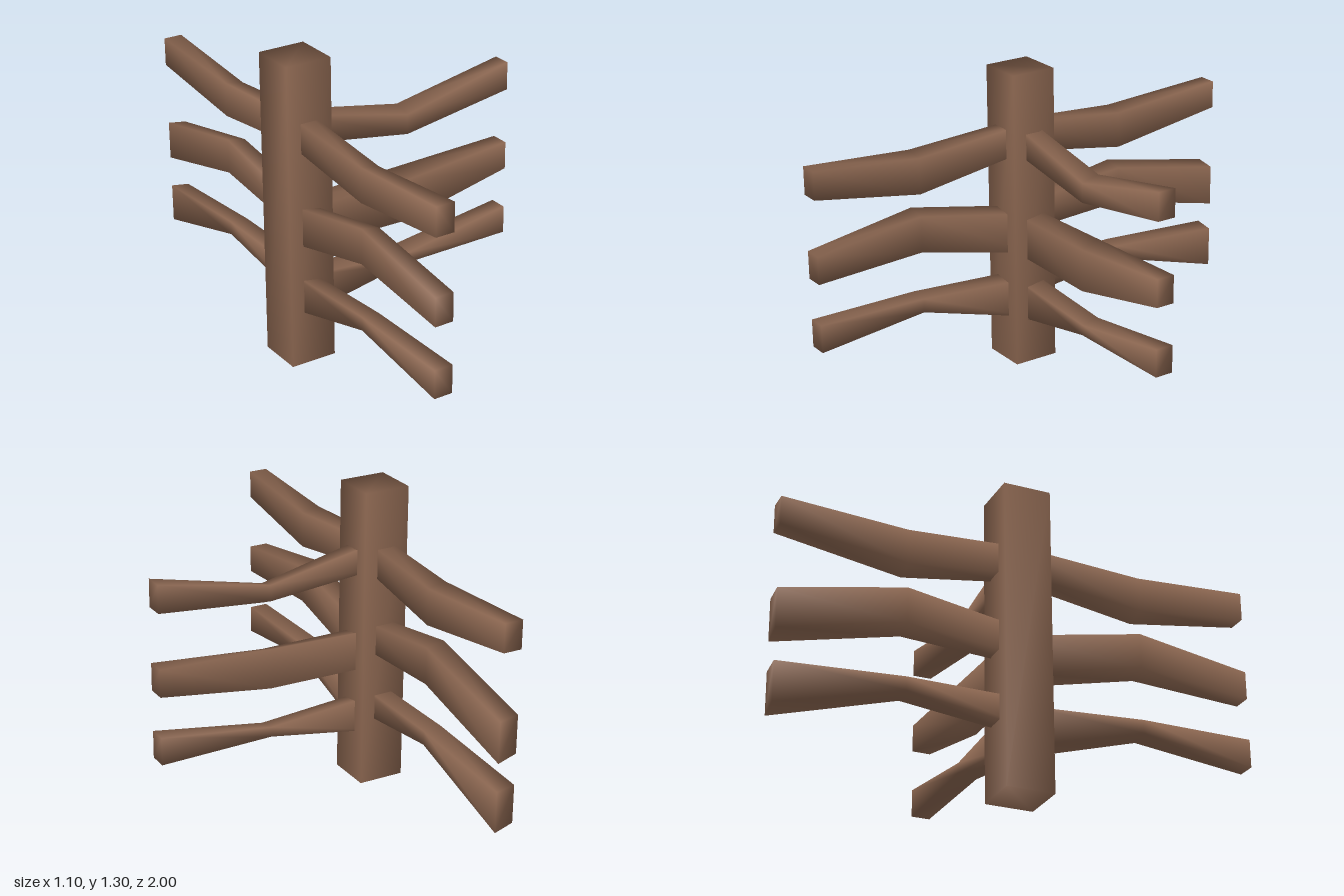
import * as THREE from 'three';
import { mergeVertices } from 'three/addons/utils/BufferGeometryUtils.js';

const POST_X = -0.45, HALF = 0.04;

// Skins a row of four-cornered rings, closes both ends, shares corners for smooth shading
function loft(rings) {
  const index = [0, 3, 2, 0, 2, 1];
  for (let r = 0; r < rings.length - 1; r++) {
    for (let i = 0; i < 4; i++) {
      const a = r * 4 + i, b = r * 4 + (i + 1) % 4;
      index.push(a, b, b + 4, a, b + 4, a + 4);
    }
  }
  const e = (rings.length - 1) * 4;
  index.push(e, e + 1, e + 2, e, e + 2, e + 3);
  const geo = new THREE.BufferGeometry();
  geo.setAttribute('position', new THREE.Float32BufferAttribute(rings.flat(2), 3));
  geo.setIndex(index);
  geo.computeVertexNormals();
  return geo;
}

// Section: distance along the arm, then bottom and top on the near side, bottom and top on the far side
const armZ = ([z, nb, nt, fb, ft]) => [
  [POST_X + HALF, nb, z], [POST_X + HALF, nt, z], [POST_X - HALF, ft, z], [POST_X - HALF, fb, z],
];
const armX = ([d, nb, nt, fb, ft]) => [
  [POST_X + d, nb, HALF], [POST_X + d, nt, HALF], [POST_X + d, ft, -HALF], [POST_X + d, fb, -HALF],
];

const tiers = [
  {
    name: 'lower',
    root: [0, 0.18, 0.357, 0.205, 0.37],
    bendZ: [0.52, 0.335, 0.395, 0.345, 0.402],
    bendX: [0.5, 0.275, 0.32, 0.29, 0.333],
    tip: [1, 0.28, 0.4, 0.28, 0.4],
  },
  {
    name: 'middle',
    root: [0, 0.48, 0.657, 0.505, 0.67],
    bendZ: [0.52, 0.605, 0.762, 0.63, 0.778],
    bendX: [0.5, 0.473, 0.655, 0.51, 0.685],
    tip: [1, 0.58, 0.7, 0.58, 0.7],
  },
  {
    name: 'upper',
    root: [0, 0.94, 1.06, 0.94, 1.06],
    bendZ: [0.52, 0.86, 1.015, 0.885, 1.03],
    bendX: [0.5, 0.86, 0.945, 0.895, 0.965],
    tip: [1, 0.94, 1.06, 0.94, 1.06],
  },
];

export function createModel() {
  const group = new THREE.Group();
  const wood = new THREE.MeshStandardMaterial({ color: 0x8b6650 });
  wood.name = 'brown wood';
  const add = (name, geo) => {
    const mesh = new THREE.Mesh(geo, wood);
    mesh.name = name;
    group.add(mesh);
    return mesh;
  };

  // Upright post with corners shared so it shades softly
  const box = new THREE.BoxGeometry(0.2, 1.3, 0.2);
  box.deleteAttribute('normal');
  box.deleteAttribute('uv');
  const postGeo = mergeVertices(box);
  postGeo.computeVertexNormals();
  add('post', postGeo).position.set(POST_X, 0.65, 0);

  // Three tiers of bent rails: front, back and side
  for (const { name, root, bendZ, bendX, tip } of tiers) {
    const railGeo = loft([root, bendZ, tip].map(armZ));
    add(name + 'FrontRail', railGeo);
    add(name + 'BackRail', railGeo).position.z = -1;
    add(name + 'SideRail', loft([tip, bendX, root].map(armX)));
  }
  return group;
}
